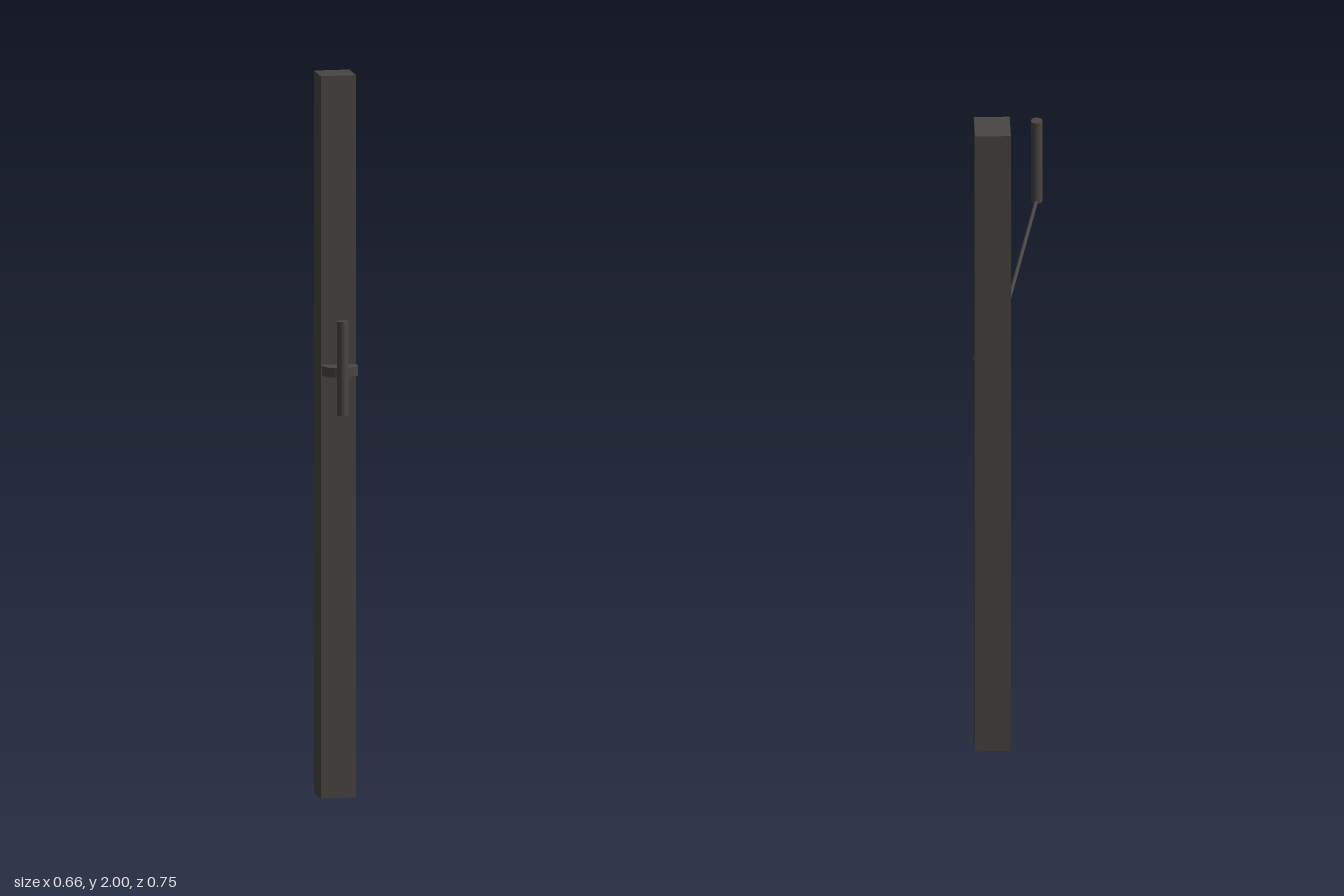
import * as THREE from 'three';

export function createModel() {
  const group = new THREE.Group();
  const darkMetal = new THREE.MeshStandardMaterial({ name: 'dark metal', color: 0x4a4543 });

  function add(name, geometry, x, y, z) {
    const mesh = new THREE.Mesh(geometry, darkMetal);
    mesh.name = name;
    mesh.position.set(x, y, z);
    group.add(mesh);
    return mesh;
  }

  // Square post, turned so one face meets the pivot
  add('post', new THREE.BoxGeometry(0.098, 2, 0.098), -0.259, 1, -0.309).rotation.y = -0.695;

  // Round pivot partly sunk into the post face
  const pivot = new THREE.Vector3(-0.205, 1.188, -0.264);
  add('pivot', new THREE.CylinderGeometry(0.049, 0.049, 0.026, 40), ...pivot);

  // Thin arm rising slightly from the pivot to the foot of the upright
  const tip = new THREE.Vector3(0.312, 1.199, 0.361);
  const span = tip.clone().sub(pivot);
  const middle = pivot.clone().add(tip).multiplyScalar(0.5);
  const arm = add('arm', new THREE.CylinderGeometry(0.0052, 0.0052, span.length(), 16), ...middle);
  arm.quaternion.setFromUnitVectors(new THREE.Vector3(0, 1, 0), span.normalize());

  // Upright rod at the end of the arm
  add('uprightRod', new THREE.CylinderGeometry(0.0155, 0.0155, 0.26, 32), 0.312, 1.326, 0.361);

  return group;
}
